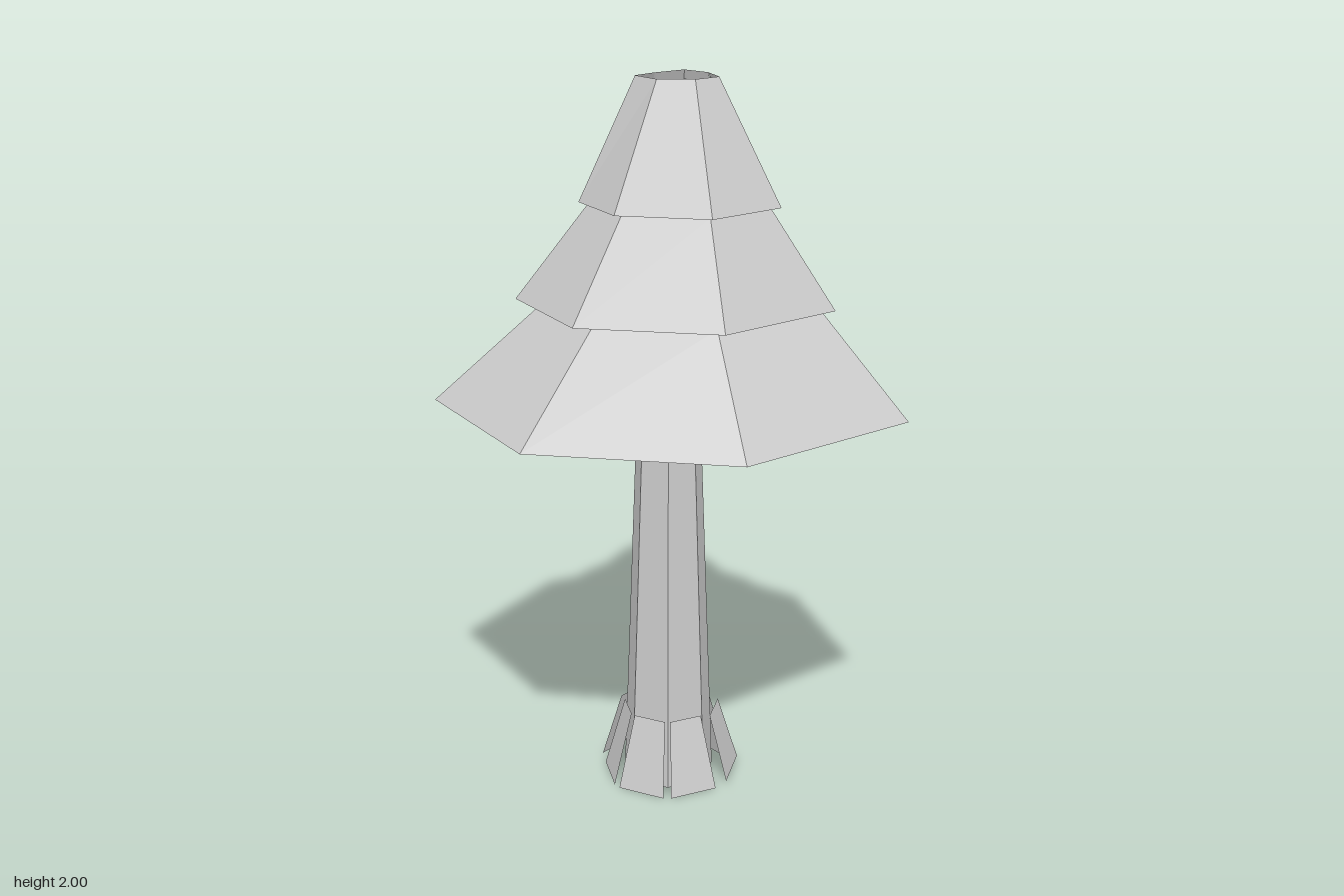
import * as THREE from 'three';

const material = new THREE.MeshStandardMaterial({ color: 0xcccccc, flatShading: true, side: THREE.DoubleSide });

// Mesh from a list of quads, each four [x, y, z] corners, counter-clockwise from outside
function quadMesh(name, quads) {
  const pos = quads.flatMap(([a, b, c, d]) => [...a, ...b, ...c, ...a, ...c, ...d]);
  const geo = new THREE.BufferGeometry();
  geo.setAttribute('position', new THREE.Float32BufferAttribute(pos, 3));
  geo.computeVertexNormals();
  const mesh = new THREE.Mesh(geo, material);
  mesh.name = name;
  return mesh;
}

// Sloping panels between two rings of [x, z] points, which run back, left, front, right
function skirt(name, lower, y0, upper, y1) {
  const n = lower.length;
  const at = (ring, i, y) => [ring[i % n][0], y, ring[i % n][1]];
  return quadMesh(name, lower.map((_, i) => [
    at(lower, i + 1, y0), at(lower, i, y0), at(upper, i, y1), at(upper, i + 1, y1),
  ]));
}

// Flat polygon closing a ring
function cap(name, ring, y) {
  const geo = new THREE.ShapeGeometry(new THREE.Shape(ring.map(([x, z]) => new THREE.Vector2(x, -z))));
  geo.rotateX(-Math.PI / 2).translate(0, y, 0);
  const mesh = new THREE.Mesh(geo, material);
  mesh.name = name;
  return mesh;
}

export function createModel() {
  const tree = new THREE.Group();
  tree.name = 'tree';

  // Uneven seven-sided foliage rings
  const bottomOuter = [[-0.03, -0.57], [0.47, -0.48], [0.57, 0.09], [0.37, 0.56], [-0.195, 0.56], [-0.575, 0.13], [-0.495, -0.39]];
  const bottomInner = [[0, -0.32], [0.29, -0.26], [0.35, 0.06], [0.26, 0.32], [-0.09, 0.32], [-0.29, 0.07], [-0.24, -0.21]];
  const middleOuter = [[0, -0.38], [0.34, -0.32], [0.405, 0.05], [0.27, 0.375], [-0.11, 0.375], [-0.37, 0.08], [-0.31, -0.26]];
  const middleInner = [[0.015, -0.22], [0.2, -0.185], [0.235, 0.035], [0.165, 0.23], [-0.04, 0.23], [-0.185, 0.05], [-0.155, -0.13]];
  const topOuter = [[0.015, -0.22], [0.2, -0.185], [0.27, 0.045], [0.185, 0.25], [-0.05, 0.25], [-0.215, 0.055], [-0.18, -0.145]];
  const topInner = [[0.02, -0.07], [0.115, -0.065], [0.13, 0.015], [0.1, 0.095], [0.02, 0.095], [-0.055, 0.03], [-0.055, -0.06]];

  // Left side panel of the top tier sits further in than its neighbour
  const topTier = topOuter.map(([x, z], i) => {
    const j = (i + 1) % 7;
    const [x0, z0] = topOuter[i];
    const [x1, z1] = i === 1 ? middleInner[2] : topOuter[j];
    const [u0, v0] = topInner[i];
    const [u1, v1] = topInner[j];
    return [[x1, 1.67, z1], [x0, 1.67, z0], [u0, 2, v0], [u1, 2, v1]];
  });

  tree.add(
    skirt('bottomFoliage', bottomOuter, 1.125, bottomInner, 1.405),
    cap('bottomFoliageCap', bottomInner, 1.41),
    skirt('middleFoliage', middleOuter, 1.405, middleInner, 1.67),
    quadMesh('topFoliage', topTier),
    cap('topFoliageCap', topInner.map(([x, z]) => [x * 1.05, z * 1.05]), 1.975),
  );

  // Tapered seven-sided trunk
  const turn = THREE.MathUtils.degToRad(12);
  const trunk = new THREE.Mesh(new THREE.CylinderGeometry(0.08, 0.13, 1.34, 7, 1, false, turn), material);
  trunk.name = 'trunk';
  trunk.position.set(0, 0.675, 0.012);
  tree.add(trunk);

  // Flared root plates, one per trunk face, with small gaps and tilts
  const roots = new THREE.Group();
  roots.name = 'roots';
  const lift = [0.02, 0, 0.012, 0.015, 0, 0, 0];
  const step = (Math.PI * 2) / 7;
  for (let i = 0; i < 7; i++) {
    const a0 = turn + i * step + 0.06;
    const a1 = turn + (i + 1) * step - 0.06;
    const point = (a, r, y) => [Math.sin(a) * r, y, Math.cos(a) * r + 0.01];
    const foot = 0.185 + lift[i];
    const head = 0.126 + lift[i];
    roots.add(quadMesh('root', [[
      point(a0, foot, lift[i]), point(a1, foot, lift[i]), point(a1, head, 0.21), point(a0, head, 0.21),
    ]]));
  }
  tree.add(roots);

  return tree;
}
